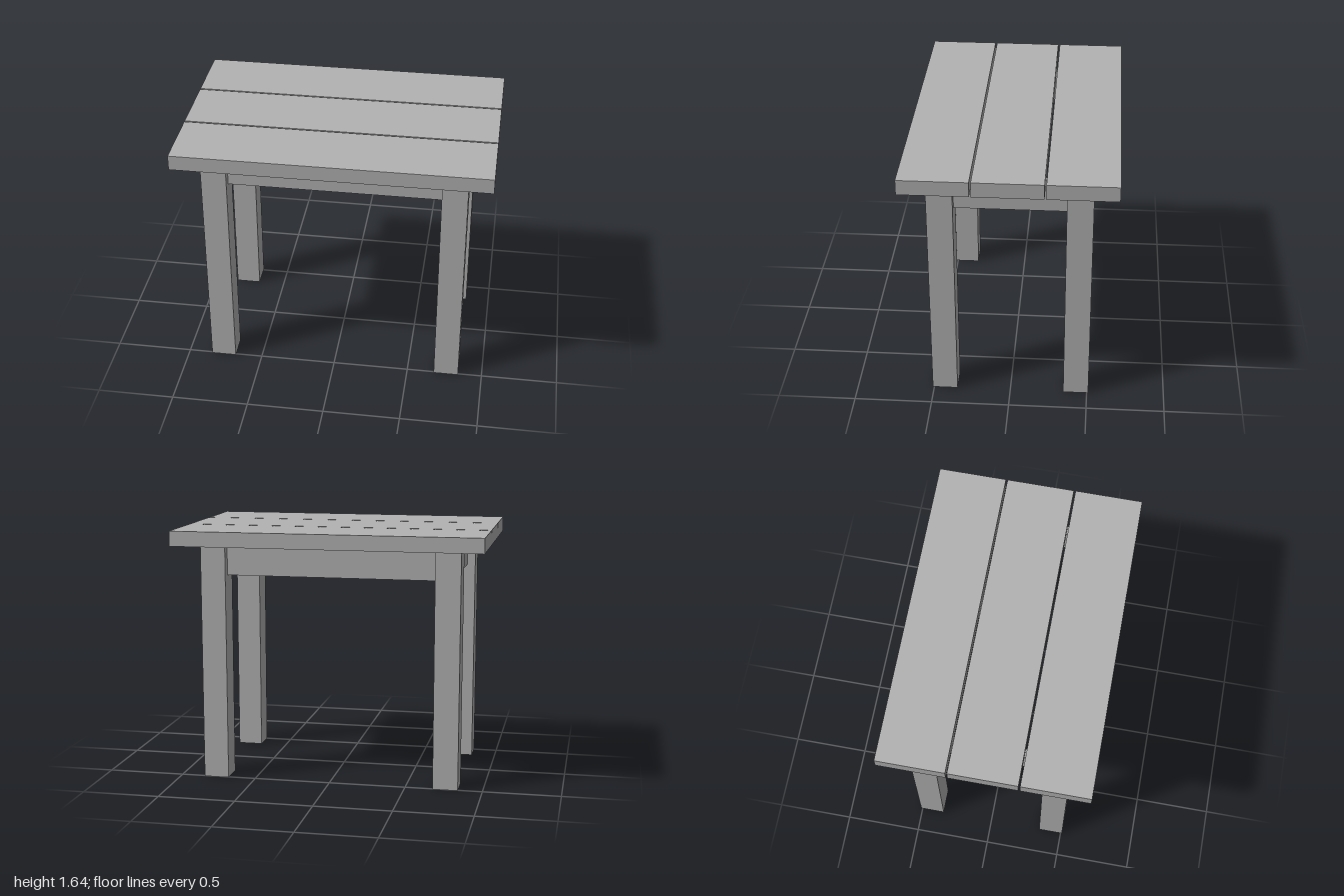
import * as THREE from 'three';

export function createModel() {
  const table = new THREE.Group();
  table.name = 'table';

  const grey = new THREE.MeshStandardMaterial({ color: 0xb2b2b2 });
  grey.name = 'plain grey';

  const addBox = (name, [w, h, d], [x, y, z]) => {
    const mesh = new THREE.Mesh(new THREE.BoxGeometry(w, h, d), grey);
    mesh.name = name;
    mesh.position.set(x, y, z);
    table.add(mesh);
  };

  const topY = 1.645, legHeight = 1.548, legSize = 0.163;
  const legX = 0.761, legZ = 0.428;
  const railHeight = 0.203, railThickness = 0.054;
  const railY = legHeight - railHeight / 2;

  // Table top: three planks with narrow gaps
  const plankDepth = 0.434, gap = 0.011, plankHeight = topY - legHeight;
  for (const i of [-1, 0, 1]) {
    addBox('plank', [2, plankHeight, plankDepth],
      [0, legHeight + plankHeight / 2, i * (plankDepth + gap)]);
  }

  // Square legs
  for (const sx of [-1, 1]) {
    for (const sz of [-1, 1]) {
      addBox('leg', [legSize, legHeight, legSize], [sx * legX, legHeight / 2, sz * legZ]);
    }
  }

  // Rails centred between the legs
  for (const s of [-1, 1]) {
    addBox('longRail', [2 * legX - legSize, railHeight, railThickness], [0, railY, s * legZ]);
    addBox('shortRail', [railThickness, railHeight, 2 * legZ - legSize], [s * legX, railY, 0]);
  }

  return table;
}
